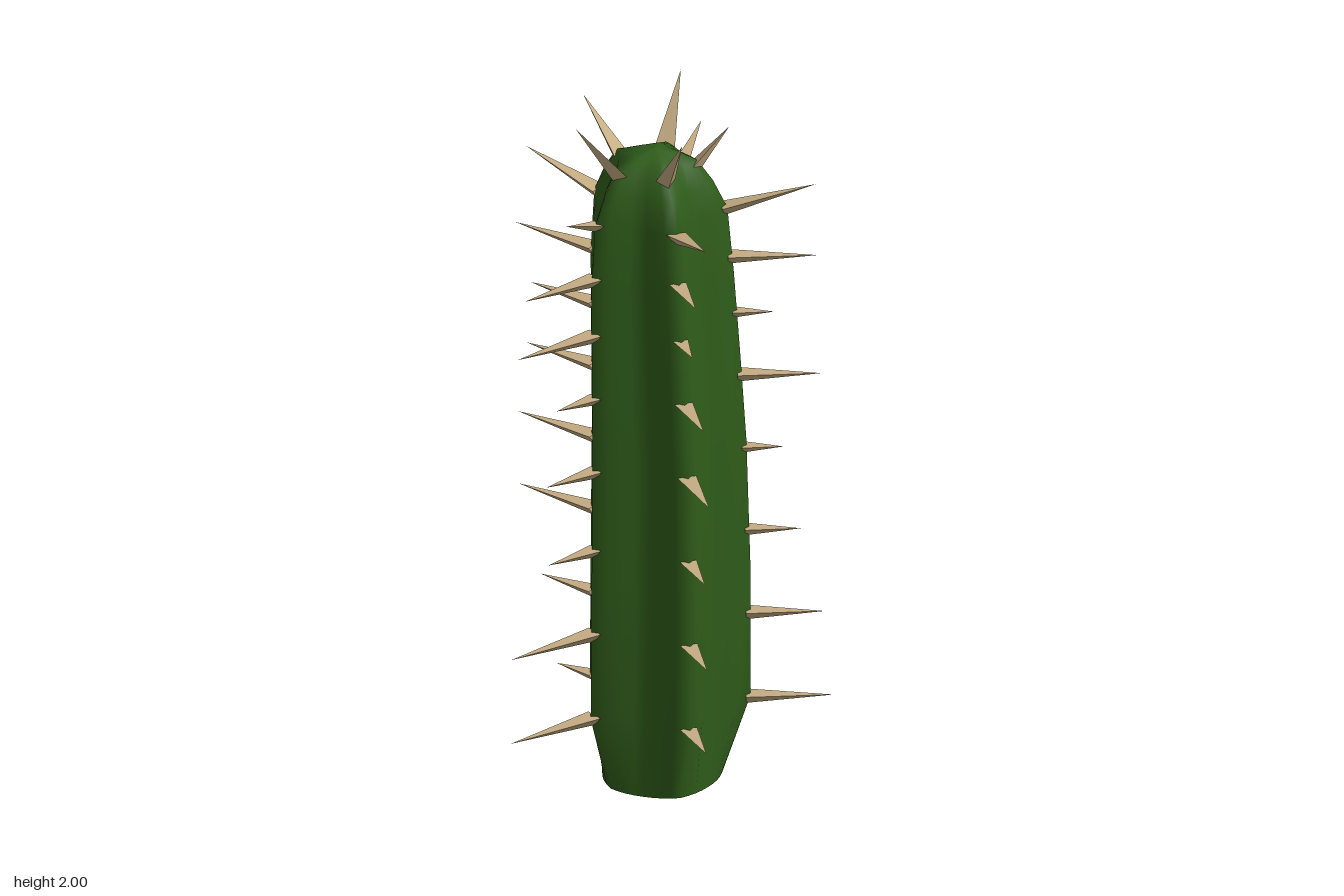
import * as THREE from 'three';

// Trunk cross-sections: height, centre x, centre z, rib radius, groove radius
const RINGS = [
  [0, 0.055, -0.03, 0.167, 0.157],
  [0.23, 0.058, -0.033, 0.239, 0.158],
  [0.6, 0.06, -0.033, 0.238, 0.16],
  [1.0, 0.058, -0.03, 0.23, 0.156],
  [1.25, 0.047, -0.03, 0.222, 0.15],
  [1.5, 0.036, -0.029, 0.213, 0.145],
  [1.69, 0.033, -0.029, 0.198, 0.135],
  [1.77, 0.03, -0.03, 0.161, 0.117],
  [1.83, 0.028, -0.03, 0.12, 0.092],
  [1.855, 0.029, -0.032, 0.06, 0.05],
  [1.867, 0.03, -0.034, 0, 0],
];
const deg = THREE.MathUtils.degToRad;
const FIRST_RIB = 174;

// Interpolated cross-section at a height
function ringAt(y) {
  let i = 0;
  while (i < RINGS.length - 2 && RINGS[i + 1][0] < y) i++;
  const a = RINGS[i], b = RINGS[i + 1], t = (y - a[0]) / (b[0] - a[0]);
  return a.map((v, k) => v + (b[k] - v) * t);
}

// Closed five-ribbed skin with concave grooves, open underneath
function trunkGeometry() {
  const PER_RIB = 8, SEG = 5 * PER_RIB, pos = [], index = [];
  for (const [y, cx, cz, rib, groove] of RINGS) {
    for (let j = 0; j < SEG; j++) {
      const a = deg(FIRST_RIB + (j * 360) / SEG);
      const t = (j % PER_RIB) / PER_RIB;
      const r = groove + (rib - groove) * Math.pow(Math.abs(2 * t - 1), 1.6);
      pos.push(cx + r * Math.cos(a), y, cz + r * Math.sin(a));
    }
  }
  for (let i = 0; i < RINGS.length - 1; i++) {
    for (let j = 0; j < SEG; j++) {
      const p = i * SEG + j, q = i * SEG + ((j + 1) % SEG);
      index.push(p, p + SEG, q);
      if (i < RINGS.length - 2) index.push(q, p + SEG, q + SEG);
    }
  }
  const g = new THREE.BufferGeometry();
  g.setAttribute('position', new THREE.Float32BufferAttribute(pos, 3));
  g.setIndex(index);
  g.computeVertexNormals();
  return g;
}

// Ribs: direction, small height shift, spine lengths from bottom to top
const LEVELS = [0.228, 0.48, 0.73, 0.965, 1.18, 1.365, 1.53, 1.69, 1.825];
const RIBS = [
  { angle: 174, shift: -0.018, lengths: [0.11, 0.165, 0.24, 0.245, 0.215, 0.2, 0.25, 0.235, 0.175] },
  { angle: 102, shift: 0, lengths: [0.27, 0.27, 0.145, 0.155, 0.12, 0.25, 0.225, 0.1, 0.22] },
  { angle: 30, shift: 0.015, lengths: [0.14, 0.145, 0.13, 0.18, 0.16, 0.09, 0.14, 0.25, 0.205] },
  { angle: -42, shift: 0.012, lengths: [0.225, 0.2, 0.14, 0.1, 0.215, 0.1, 0.23, 0.25, 0.135] },
  { angle: -114, shift: -0.013, lengths: [0.21, 0.225, 0.165, 0.245, 0.225, 0.145, 0.135, 0.235, 0.205] },
];

export function createModel() {
  const model = new THREE.Group();
  const green = new THREE.MeshStandardMaterial({ color: 0x2f5c1a, side: THREE.DoubleSide });
  const tan = new THREE.MeshStandardMaterial({ color: 0xc4ab82, flatShading: true });

  const trunk = new THREE.Mesh(trunkGeometry(), green);
  trunk.name = 'trunk';
  model.add(trunk);

  // Unit spine: three-sided point along +x with a flat top
  const spineGeometry = new THREE.ConeGeometry(1, 1, 3, 1);
  spineGeometry.rotateY(Math.PI / 2);
  spineGeometry.translate(0, 0.5, 0);
  spineGeometry.rotateZ(-Math.PI / 2);

  // Rows of spines along the ribs, tilting upwards near the crown
  const spines = new THREE.Group();
  spines.name = 'spines';
  const EMBED = 0.012;
  for (const { angle, shift, lengths } of RIBS) {
    lengths.forEach((length, i) => {
      const y = LEVELS[i] + (i > 2 && i < 7 ? shift : 0);
      const [, cx, cz, rib] = ringAt(y);
      const a = deg(angle);
      const tilt = deg(i === 8 ? 52 : i === 7 ? 16 : 1);
      const r = rib - EMBED * Math.cos(tilt);
      const spine = new THREE.Mesh(spineGeometry, tan);
      spine.name = 'spine';
      const size = 0.6 + 0.4 * Math.min(1, length / 0.2);
      spine.scale.set(length + EMBED, 0.02 * size, 0.032 * size);
      spine.rotation.set(0, -a, tilt, 'YZX');
      spine.position.set(cx + r * Math.cos(a), y - EMBED * Math.sin(tilt), cz + r * Math.sin(a));
      spines.add(spine);
    });
  }
  model.add(spines);
  return model;
}
